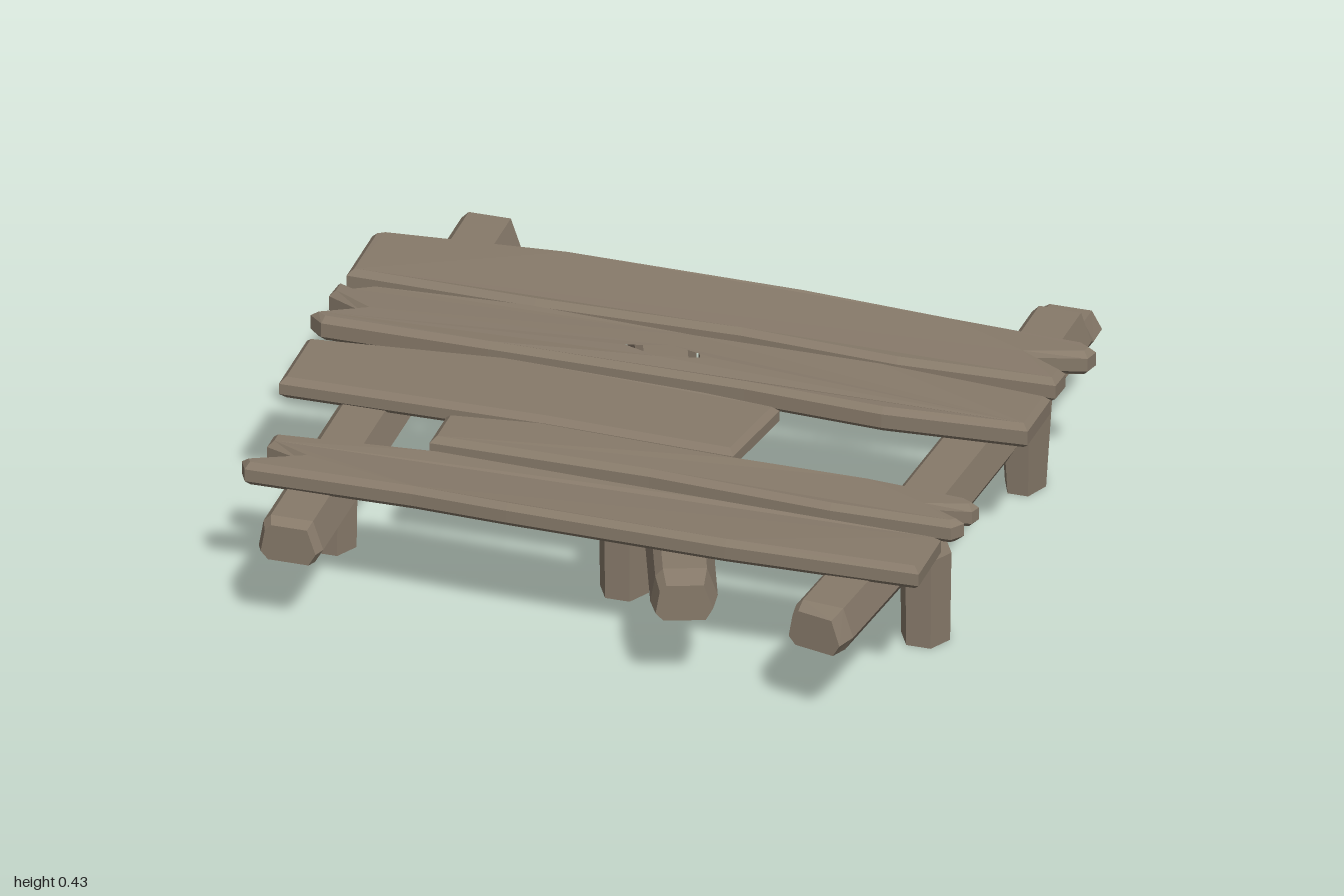
import * as THREE from 'three';

const wood = new THREE.MeshStandardMaterial({ color: 0x877a6a });
wood.name = 'weatheredWood';

function add(group, name, geometry) {
  const flat = geometry.index ? geometry.toNonIndexed() : geometry;
  flat.computeVertexNormals();
  const mesh = new THREE.Mesh(flat, wood);
  mesh.name = name;
  group.add(mesh);
  return mesh;
}

// Plank from its plan outline [x, z], with chamfered edges and drooping ends
function plank(outline, bottom, thickness, hole) {
  const toPlan = (pts) => pts.map(([x, z]) => new THREE.Vector2(x, -z));
  const shape = new THREE.Shape(toPlan(outline));
  if (hole) shape.holes.push(new THREE.Path(toPlan(hole)));
  const bevel = 0.016;
  const geo = new THREE.ExtrudeGeometry(shape, {
    depth: thickness - 2 * bevel, bevelEnabled: true, bevelSegments: 1,
    bevelSize: bevel, bevelThickness: bevel, bevelOffset: -bevel, steps: 1,
  });
  geo.rotateX(-Math.PI / 2);
  geo.translate(0, bottom + bevel, 0);
  const p = geo.attributes.position;
  for (let i = 0; i < p.count; i++) {
    const x = p.getX(i);
    p.setY(i, p.getY(i) - 0.014 * x * x);
  }
  return geo;
}

// Hewn beam: one cross-section swept along [x, z, width scale, height scale], back to front
const SECTION = [[-0.088, 0.25], [-0.075, 0.325], [-0.055, 0.346], [0.06, 0.346],
  [0.088, 0.265], [0.065, 0.225], [-0.065, 0.225]];

function beam(path) {
  const n = SECTION.length;
  const pos = [], index = [];
  path.forEach(([x, z, su, sv], i) => {
    const a = path[Math.max(i - 1, 0)], b = path[Math.min(i + 1, path.length - 1)];
    const dx = b[0] - a[0], dz = b[1] - a[1], len = Math.hypot(dx, dz);
    for (const [u, v] of SECTION) {
      pos.push(x + (u * su * dz) / len, 0.235 + (v - 0.235) * sv, z - (u * su * dx) / len);
    }
  });
  for (let i = 0; i < path.length - 1; i++) {
    for (let j = 0; j < n; j++) {
      const k = (j + 1) % n, a = i * n, b = a + n;
      index.push(a + j, b + j, b + k, a + j, b + k, a + k);
    }
  }
  const last = (path.length - 1) * n;
  for (let k = 1; k < n - 1; k++) {
    index.push(0, k, k + 1, last, last + k + 1, last + k);
  }
  const geo = new THREE.BufferGeometry();
  geo.setAttribute('position', new THREE.Float32BufferAttribute(pos, 3));
  geo.setIndex(index);
  return geo;
}

export function createModel() {
  const model = new THREE.Group();
  model.name = 'brokenPlankPlatform';

  // Deck planks, back to front
  add(model, 'backPlank', plank([
    [-0.98, -0.56], [-0.95, -0.578], [-0.46, -0.606], [0.19, -0.595], [0.6, -0.575], [0.96, -0.57],
    [1, -0.545], [0.99, -0.505], [0.85, -0.46], [0.96, -0.41], [0.955, -0.34],
    [0.53, -0.308], [0.1, -0.325], [-0.46, -0.315], [-0.98, -0.34]], 0.35, 0.07));

  add(model, 'knotholePlank', plank([
    [-0.98, -0.27], [-0.93, -0.25], [-0.88, -0.275], [-0.46, -0.29], [0, -0.262], [0.5, -0.272],
    [0.97, -0.25], [0.965, -0.07], [0.58, -0.028], [0.2, -0.04], [-0.5, -0.045], [-0.96, -0.06],
    [-1, -0.095], [-0.88, -0.15], [-0.985, -0.205]], 0.358, 0.072,
  [[-0.18, -0.145], [-0.04, -0.195], [0.11, -0.145], [-0.06, -0.095]]));

  add(model, 'shortLeftPlank', plank([
    [-0.98, 0], [-0.45, -0.04], [0.1, -0.018], [0.31, 0], [0.27, 0.27], [-0.25, 0.252],
    [-0.98, 0.24]], 0.345, 0.062));

  add(model, 'shortRightPlank', plank([
    [-0.5, 0.31], [-0.25, 0.282], [0.3, 0.302], [0.65, 0.295], [0.92, 0.308], [0.96, 0.33],
    [0.95, 0.36], [0.85, 0.385], [0.95, 0.425], [0.925, 0.46], [0.6, 0.478], [0.1, 0.458],
    [-0.5, 0.455]], 0.35, 0.067));

  add(model, 'frontPlank', plank([
    [-0.9, 0.53], [-0.46, 0.503], [0.3, 0.53], [0.92, 0.53], [0.92, 0.72], [0.4, 0.75],
    [-0.2, 0.742], [-0.46, 0.728], [-0.92, 0.72], [-0.94, 0.68], [-0.8, 0.63], [-0.9, 0.59]],
  0.35, 0.067));

  // Supporting beams
  add(model, 'leftBeam', beam([
    [-0.75, -0.86, 0.8, 0.85], [-0.75, -0.835, 1, 1], [-0.75, 0.855, 1, 1], [-0.75, 0.88, 0.85, 0.85]]));
  add(model, 'middleBeam', beam([
    [-0.245, -0.7, 0.7, 0.8], [-0.225, -0.64, 1, 1], [0.305, 0.8, 1, 1], [0.325, 0.86, 0.85, 0.85]]));
  add(model, 'rightBeam', beam([
    [0.815, -0.92, 0.85, 0.45], [0.815, -0.9, 1, 0.62], [0.815, -0.83, 1, 0.65], [0.815, -0.81, 1, 1],
    [0.8, -0.2, 1, 1], [0.77, 0.25, 1, 1], [0.705, 0.87, 1, 1], [0.695, 0.91, 0.88, 0.85]]));

  // Six-sided legs in two rows
  const rows = [['front', 0.363, 0.075, 0.071], ['back', -0.49, 0.098, 0.076]];
  const columns = [['Left', -0.795], ['Middle', 0.003], ['Right', 0.825]];
  for (const [row, z, top, bottom] of rows) {
    for (const [column, x] of columns) {
      const leg = new THREE.CylinderGeometry(top, bottom, 0.26, 6);
      leg.rotateY(Math.PI / 6);
      leg.scale(row === 'front' ? 0.94 : 0.74, 1, 1);
      leg.translate(x, 0.13, z);
      add(model, row + column + 'Leg', leg);
    }
  }
  return model;
}
